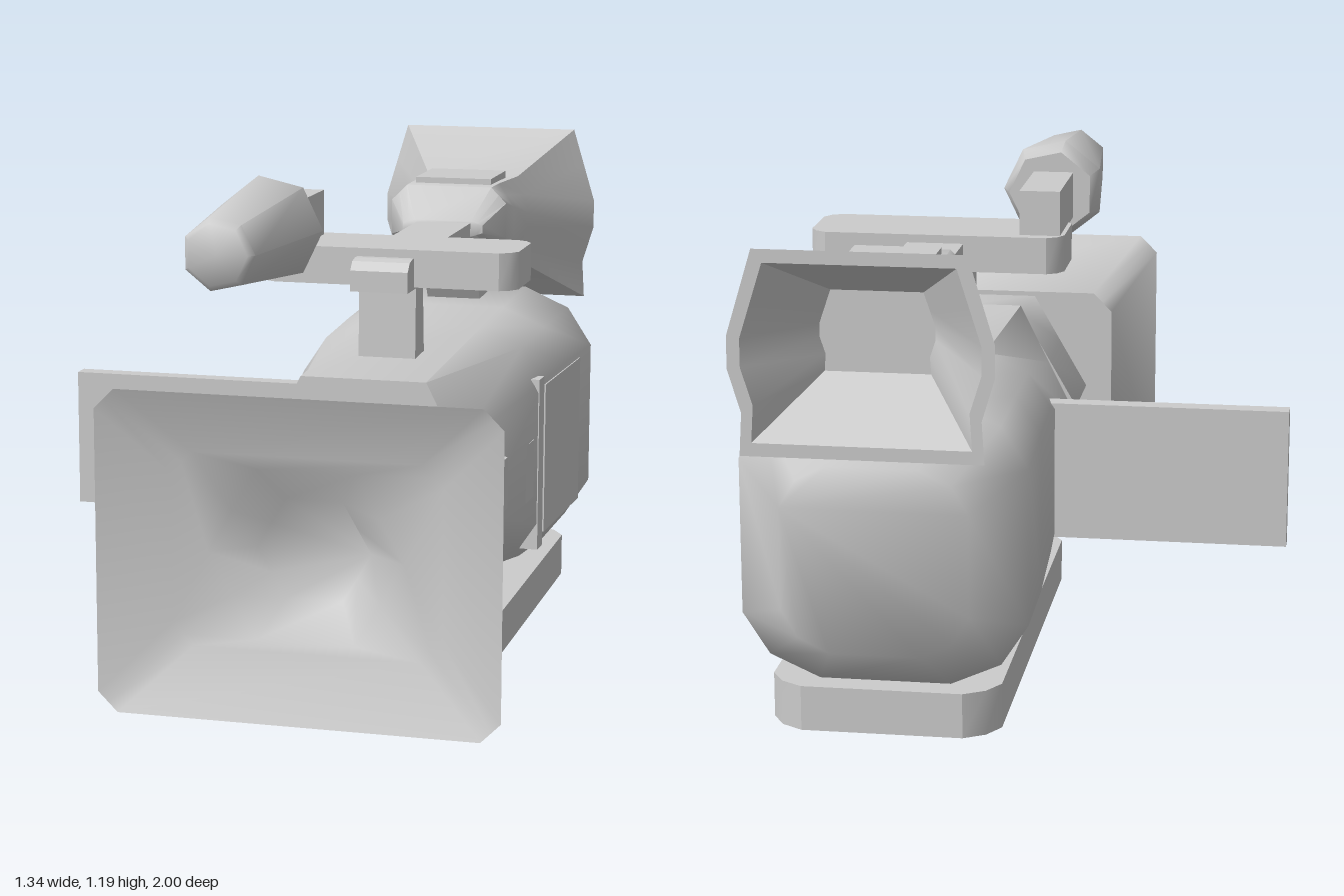
import * as THREE from 'three';
import { toCreasedNormals } from 'three/addons/utils/BufferGeometryUtils.js';

const CX = 0.215; // centre line of the camera body

// Rectangle outline with cut corners; bulge pushes each cut outwards.
// Corner cuts of a quarter width and half height give a hexagon.
function ring(z, x0, x1, y0, y1, cx = 0, cy = 0, bulge = 0) {
  const pts = [];
  const corner = (px, py, sx, sy, sideFirst) => {
    const side = [px, py - sy * cy, z];
    const end = [px - sx * cx, py, z];
    const k = 0.5 - 0.5 * bulge;
    const mid = [px - sx * cx * k, py - sy * cy * k, z];
    pts.push(...(sideFirst ? [side, mid, end] : [end, mid, side]));
  };
  corner(x1, y1, 1, 1, true);
  corner(x0, y1, -1, 1, false);
  corner(x0, y0, -1, -1, true);
  corner(x1, y0, 1, -1, false);
  return pts;
}

const hexRing = (z, r, cy = 0.43, h = r * 0.866) =>
  ring(z, CX - r, CX + r, cy - h, cy + h, r / 2, h);

// Skin between successive rings, capped at both ends.
function loft(rings, crease = 0.5) {
  const v = [];
  const n = rings[0].length;
  for (let k = 0; k < rings.length - 1; k++) {
    const a = rings[k], b = rings[k + 1];
    for (let i = 0; i < n; i++) {
      const j = (i + 1) % n;
      v.push(...a[i], ...b[i], ...a[j], ...a[j], ...b[i], ...b[j]);
    }
  }
  const first = rings[0], last = rings[rings.length - 1];
  for (let i = 1; i < n - 1; i++) {
    v.push(...first[0], ...first[i], ...first[i + 1]);
    v.push(...last[0], ...last[i + 1], ...last[i]);
  }
  const g = new THREE.BufferGeometry();
  g.setAttribute('position', new THREE.Float32BufferAttribute(v, 3));
  return toCreasedNormals(g, crease);
}

// Flat slab with its corners cut in plan
function slab(x0, x1, y0, y1, z0, z1, cut) {
  const g = loft([ring(y1, x0, x1, -z1, -z0, cut, cut, 0.25), ring(y0, x0, x1, -z1, -z0, cut, cut, 0.25)]);
  return g.rotateX(-Math.PI / 2);
}

function box(x0, x1, y0, y1, z0, z1) {
  return new THREE.BoxGeometry(x1 - x0, y1 - y0, z1 - z0)
    .translate((x0 + x1) / 2, (y0 + y1) / 2, (z0 + z1) / 2);
}

// Side profile of [z, y] points, extruded across x
function profile(points, x0, x1) {
  const shape = new THREE.Shape(points.map(([z, y]) => new THREE.Vector2(z, y)));
  return new THREE.ExtrudeGeometry(shape, { depth: x1 - x0, bevelEnabled: false })
    .rotateY(-Math.PI / 2).translate(x1, 0, 0);
}

export function createModel() {
  const model = new THREE.Group();
  const material = new THREE.MeshStandardMaterial({ color: 0xcccccc });
  const add = (name, geometry) => {
    const mesh = new THREE.Mesh(geometry, material);
    mesh.name = name;
    model.add(mesh);
    return mesh;
  };

  // Body: hexagonal at the lens, rounded box at the back
  add('body', loft([
    ring(0.41, -0.09, 0.512, 0.13, 0.735, 0.15, 0.3, 0),
    ring(-0.2, -0.1, 0.52, 0.13, 0.76, 0.16, 0.13, 0.3),
    ring(-0.45, -0.11, 0.532, 0.11, 0.77, 0.17, 0.135, 0.3),
    ring(-0.73, -0.12, 0.545, 0.11, 0.78, 0.18, 0.15, 0.3),
    ring(-0.84, 0.0, 0.43, 0.21, 0.65, 0.11, 0.1, 0.3),
  ], 1.1));
  add('basePlate', slab(-0.055, 0.48, 0, 0.107, -0.785, 0.455, 0.08));

  // Lens: two hexagonal steps, then the flared hood
  add('lensRing', loft([hexRing(0.56, 0.268), hexRing(0.4, 0.268)], 1.1));
  add('lensBarrel', loft([hexRing(0.78, 0.286), hexRing(0.545, 0.286)], 1.1));
  // Hood: sloping frame around a panel with a hexagonal hollow
  add('lensHood', loft([
    hexRing(0.85, 0.13, 0.435),
    hexRing(0.922, 0.222, 0.435),
    ring(0.93, -0.09, 0.525, 0.22, 0.66, 0.05, 0.05),
    ring(1, -0.24, 0.67, 0.075, 0.805, 0.045, 0.045),
    ring(0.77, -0.14, 0.565, 0.18, 0.69, 0.05, 0.05),
  ], 0.85));

  // Flip-out screen
  add('sidePanelScreen', box(-0.67, -0.08, 0.275, 0.617, -0.115, -0.07));

  // Covers and buttons, almost flush with the left side
  const details = [
    ['sideDoor', 0.518, 0.24, 0.62, -0.595, -0.21],
    ['sideStrip', 0.508, 0.21, 0.645, -0.19, -0.14],
    ['sideButtonRear', 0.504, 0.36, 0.505, -0.085, 0.005],
    ['sideButtonFront', 0.5, 0.4, 0.525, 0.21, 0.265],
  ];
  for (const [name, x, y0, y1, z0, z1] of details) {
    const mesh = add(name, box(-0.03, 0.015, y0, y1, (z0 - z1) / 2, (z1 - z0) / 2));
    mesh.position.set(x, 0, (z0 + z1) / 2);
    mesh.rotation.y = -0.045;
  }

  // Top handle on two posts, with a cross plate
  add('handleBar', profile([[-0.5, 0.915], [0.26, 0.915], [0.26, 0.965], [0.24, 0.985], [0.215, 0.99], [-0.5, 0.99]], 0.14, 0.28));
  add('frontPost', profile([[0.18, 0.7], [0.085, 0.7], [0.105, 0.93], [0.175, 0.93]], 0.14, 0.28));
  add('rearPost', profile([[-0.555, 0.75], [-0.66, 0.75], [-0.56, 0.92], [-0.46, 0.92]], 0.14, 0.28));
  add('crossPlate', slab(-0.105, 0.525, 0.92, 1.01, -0.03, 0.195, 0.04));

  // Microphone: seven-sided, tapering forwards
  add('microphoneMount', box(-0.095, 0.005, 1.005, 1.12, 0, 0.27));
  const micProfile = [[0, 0], [0.108, 0], [0.129, 0.055], [0.086, 0.465], [0.072, 0.48], [0, 0.48]]
    .map(([r, z]) => new THREE.Vector2(r, z));
  const mic = new THREE.LatheGeometry(micProfile, 7, Math.PI / 2).rotateX(Math.PI / 2);
  add('microphone', toCreasedNormals(mic, 0.95)).position.set(-0.04, 1.065, 0.26);

  // Viewfinder with a hollow flared eyecup
  const eye = (z, half, y0, y1, cx, cy) => ring(z, CX - 0.008 - half, CX - 0.008 + half, y0, y1, cx, cy);
  // Eyecup outline, widest above the middle
  const cup = (z, half, y0, y1) => {
    const pts = eye(z, half, y0, y1, half * 0.2, (y1 - y0) * 0.42);
    for (const p of pts) {
      if (p[1] === y0) p[0] += Math.sign(p[0] - CX) * half * 0.12;
    }
    return pts;
  };
  add('viewfinder', loft([
    eye(-0.42, 0.105, 0.955, 0.995, 0.03, 0.01),
    eye(-0.49, 0.152, 0.905, 1.075, 0.04, 0.04),
    eye(-0.58, 0.154, 0.835, 1.075, 0.04, 0.06),
    cup(-0.78, 0.154, 0.835, 1.07),
    cup(-1, 0.292, 0.715, 1.175),
    cup(-1, 0.263, 0.745, 1.145),
    cup(-0.8, 0.13, 0.86, 1.045),
  ], 0.9));
  add('viewfinderButton', box(0.107, 0.307, 1.06, 1.09, -0.73, -0.54));

  return model;
}
